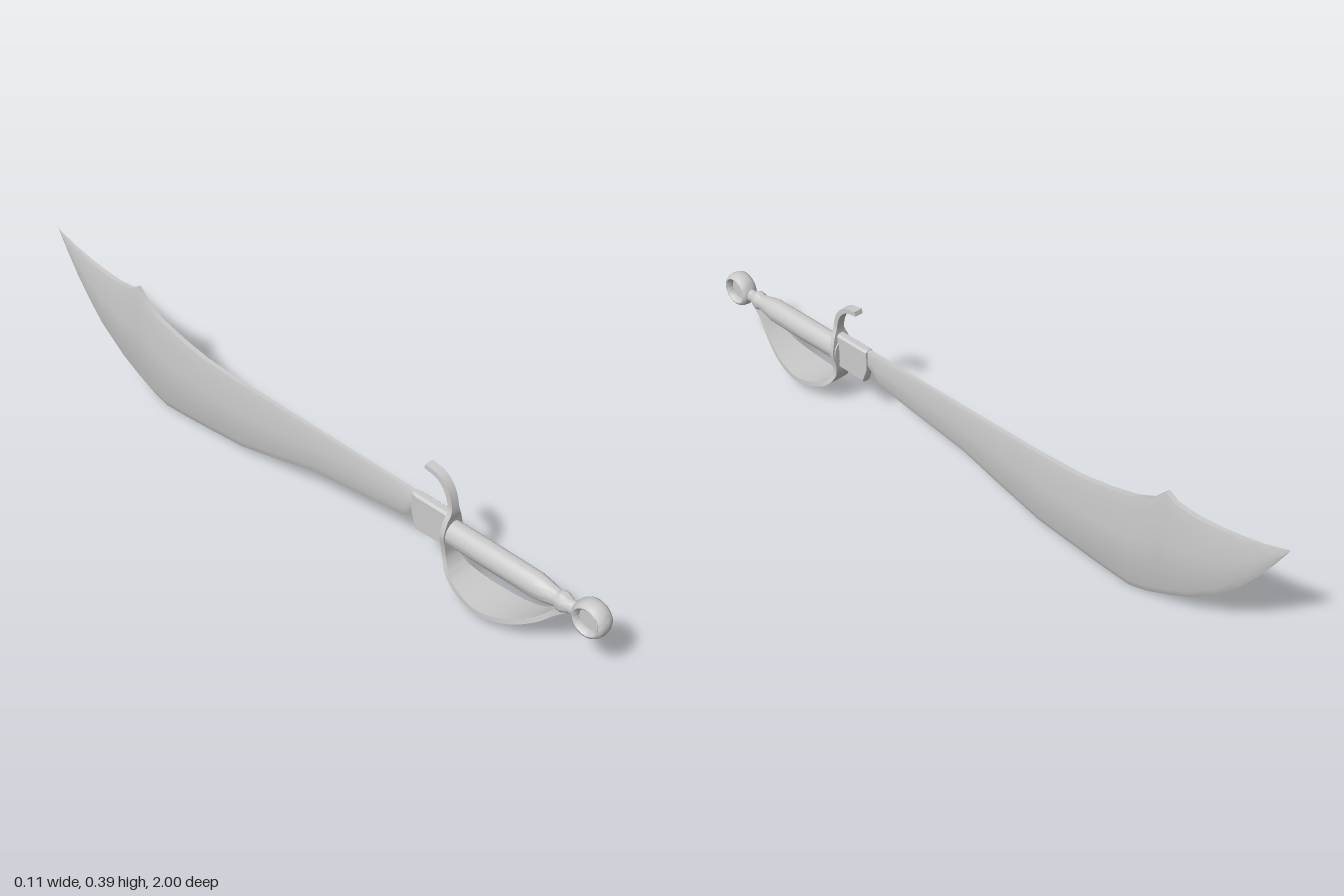
import * as THREE from 'three';
import { toCreasedNormals } from 'three/addons/utils/BufferGeometryUtils.js';

const material = new THREE.MeshStandardMaterial({ color: 0xcccccc });

function part(name, geometry, crease = 0.6) {
  const mesh = new THREE.Mesh(toCreasedNormals(geometry, crease), material);
  mesh.name = name;
  return mesh;
}

// Skin over closed rings of points, with both ends capped.
// Rings run counter-clockwise when looking along the direction of travel.
function loft(rings) {
  const n = rings[0].length;
  const last = (rings.length - 1) * n;
  const index = [];
  for (let i = 0; i < rings.length - 1; i++) {
    for (let j = 0; j < n; j++) {
      const a = i * n + j, b = i * n + (j + 1) % n;
      index.push(a, a + n, b + n, a, b + n, b);
    }
  }
  for (let j = 1; j < n - 1; j++) {
    index.push(0, j, j + 1, last, last + j + 1, last + j);
  }
  const geometry = new THREE.BufferGeometry().setFromPoints(rings.flat());
  geometry.setIndex(index);
  return geometry;
}

// Blade section: sharp lower edge, flat cheeks, rounded spine
function bladeRing([z, top, bottom, t]) {
  const h = top - bottom;
  const bevel = Math.min(0.025, h * 0.25);
  const side = [[t, bottom + bevel], [t, bottom + h * 0.55], [t * 0.95, top - h * 0.12], [t * 0.6, top]];
  const left = side.map(([x, y]) => [-x, y]).reverse();
  return [[0, bottom], ...side, ...left].map(([x, y]) => new THREE.Vector3(x, y, z));
}

// Blunt section with chamfered corners
function blockRing([z, top, bottom, t]) {
  const c = 0.006;
  return [[t - c, bottom], [t, bottom + c], [t, top - c], [t - c, top],
    [c - t, top], [-t, top - c], [-t, bottom + c], [c - t, bottom]]
    .map(([x, y]) => new THREE.Vector3(x, y, z));
}

export function createModel() {
  const group = new THREE.Group();
  group.name = 'curvedSword';

  // Blade stations: z, top, bottom, half thickness
  const blade = [
    [0.50, 0.245, 0.18, 0.008], [0.394, 0.245, 0.18, 0.008], [0.36, 0.245, 0.145, 0.008],
    [0.20, 0.245, 0.122, 0.008], [0.035, 0.245, 0.10, 0.009], [-0.10, 0.245, 0.063, 0.010],
    [-0.244, 0.246, 0.027, 0.011], [-0.38, 0.252, 0.014, 0.012], [-0.47, 0.268, 0.006, 0.012],
    [-0.555, 0.29, 0.001, 0.012], [-0.61, 0.316, 0.017, 0.012], [-0.65, 0.358, 0.035, 0.012],
    [-0.68, 0.34, 0.049, 0.012], [-0.74, 0.335, 0.08, 0.012], [-0.82, 0.342, 0.14, 0.011],
    [-0.877, 0.353, 0.20, 0.009], [-0.93, 0.366, 0.27, 0.006], [-0.97, 0.38, 0.335, 0.003],
    [-1, 0.392, 0.388, 0.0005],
  ];
  group.add(part('blade', loft(blade.map(bladeRing)), 0.7));

  // Thicker block between guard and blade
  const block = [[0.515, 0.246, 0.138, 0.014], [0.412, 0.246, 0.135, 0.014], [0.395, 0.246, 0.18, 0.012]];
  group.add(part('bladeCollar', loft(block.map(blockRing))));

  // Guard strip, from the curled upper tip down through the hilt and along
  // the knuckle bow: half width, y, z
  const path = new THREE.CatmullRomCurve3([
    [0.013, 0.35, 0.432], [0.013, 0.341, 0.475], [0.013, 0.31, 0.505], [0.014, 0.26, 0.519],
    [0.026, 0.23, 0.517], [0.034, 0.19, 0.515], [0.026, 0.15, 0.515], [0.024, 0.115, 0.519],
    [0.036, 0.077, 0.545], [0.049, 0.053, 0.60], [0.055, 0.047, 0.66], [0.045, 0.066, 0.74],
    [0.026, 0.108, 0.81], [0.015, 0.148, 0.85], [0.012, 0.175, 0.88],
  ].map((p) => new THREE.Vector3(...p)));
  const right = new THREE.Vector3(1, 0, 0);
  const guard = [];
  for (let i = 0; i <= 56; i++) {
    const p = path.getPoint(i / 56);
    const tangent = path.getTangent(i / 56).setX(0).normalize();
    const up = right.clone().cross(tangent);
    guard.push([[1, -1], [1, 1], [-1, 1], [-1, -1]].map(([u, v]) =>
      new THREE.Vector3(u * p.x, p.y, p.z).addScaledVector(up, v * 0.007)));
  }
  group.add(part('guard', loft(guard)));

  // Grip and beaded neck: radius, z
  const grip = new THREE.LatheGeometry([
    [0, 0.505], [0.036, 0.505], [0.037, 0.65], [0.036, 0.79], [0.033, 0.81], [0.027, 0.835],
    [0.024, 0.852], [0.028, 0.86], [0.029, 0.87], [0.025, 0.88], [0.019, 0.89], [0.02, 0.915], [0, 0.915],
  ].map(([r, z]) => new THREE.Vector2(r, z)), 24);
  grip.rotateX(Math.PI / 2).scale(0.8, 1, 1).translate(0, 0.188, 0);
  group.add(part('grip', grip));

  // Round pommel with a dished recess on both sides
  const half = [[0, 0.007], [0.03, 0.007], [0.034, 0.022], [0.038, 0.025], [0.044, 0.022], [0.048, 0.014]];
  const rim = [...half.map(([r, x]) => [r, -x]), [0.05, 0], ...half.reverse()];
  const pommel = new THREE.LatheGeometry(rim.map(([r, x]) => new THREE.Vector2(r, x)), 32);
  pommel.rotateZ(Math.PI / 2).translate(0, 0.192, 0.95);
  group.add(part('pommel', pommel, 0.8));

  return group;
}
